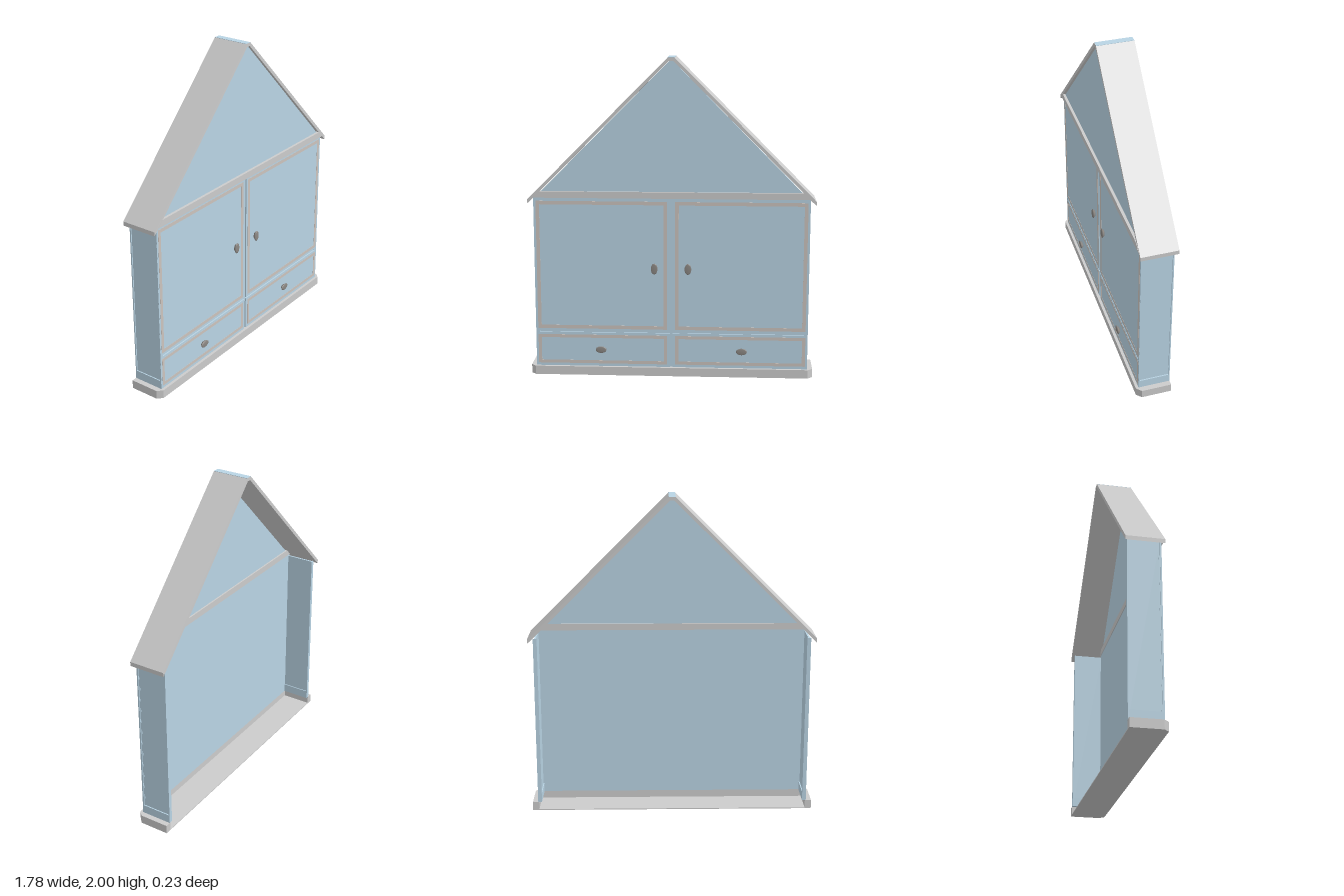
import * as THREE from 'three';

const blue = new THREE.MeshStandardMaterial({ color: 0xb9d4e4, flatShading: true, side: THREE.DoubleSide });
const grey = new THREE.MeshStandardMaterial({ color: 0xcccccc, flatShading: true, side: THREE.DoubleSide });
const trim = new THREE.MeshStandardMaterial({ color: 0xccc4be });
const dark = new THREE.MeshStandardMaterial({ color: 0x8c8884 });

function add(parent, name, geometry, material) {
  const mesh = new THREE.Mesh(geometry, material);
  mesh.name = name;
  parent.add(mesh);
  return mesh;
}

// Box given by its lowest and highest corners
function box(parent, name, a, b, material) {
  const mesh = add(parent, name, new THREE.BoxGeometry(b[0] - a[0], b[1] - a[1], b[2] - a[2]), material);
  mesh.position.set((a[0] + b[0]) / 2, (a[1] + b[1]) / 2, (a[2] + b[2]) / 2);
  return mesh;
}

// Outline in the xy plane, extruded from z0 to z1
function slab(points, z0, z1) {
  const shape = new THREE.Shape(points.map(([x, y]) => new THREE.Vector2(x, y)));
  return new THREE.ExtrudeGeometry(shape, { depth: z1 - z0, bevelEnabled: false }).translate(0, 0, z0);
}

// Flat plan outline in (x, z), extruded upwards
function plan(points, y0, y1) {
  return slab(points.map(([x, z]) => [x, -z]), y0, y1).rotateX(-Math.PI / 2);
}

// Flat rectangular frame with an open middle
function frame(x0, y0, x1, y1, width, z) {
  const shape = new THREE.Shape([[x0, y0], [x1, y0], [x1, y1], [x0, y1]].map(p => new THREE.Vector2(...p)));
  const w = width;
  shape.holes.push(new THREE.Path(
    [[x0 + w, y0 + w], [x0 + w, y1 - w], [x1 - w, y1 - w], [x1 - w, y0 + w]].map(p => new THREE.Vector2(...p))));
  return new THREE.ExtrudeGeometry(shape, { depth: 0.002, bevelEnabled: false }).translate(0, 0, z);
}

// Oval knob, flared towards the front
function knob(parent, x, y, rx, ry) {
  const profile = [[0, 0], [0.7, 0], [0.75, 0.006], [1, 0.01], [1, 0.014], [0.8, 0.017], [0, 0.017]];
  const g = new THREE.LatheGeometry(profile.map(p => new THREE.Vector2(...p)), 24);
  g.rotateX(Math.PI / 2).scale(rx, ry, 1);
  add(parent, 'knob', g, dark).position.set(x, y, 0.1);
}

export function createModel() {
  const model = new THREE.Group();

  // Plinth: thin floor with a raised rim, open at the back
  const base = new THREE.Group();
  base.name = 'base';
  model.add(base);
  const outer = [[-0.89, -0.1], [-0.89, 0.088], [-0.86, 0.118], [0.86, 0.118], [0.89, 0.088], [0.89, -0.1]];
  add(base, 'floor', plan(outer, 0, 0.006), grey);
  add(base, 'rim', plan([...outer, [0.85, -0.1], [0.85, 0.09], [-0.85, 0.09], [-0.85, -0.1]], 0.006, 0.055), grey);

  // Front wall
  box(model, 'frontBoard', [-0.85, 0.055, 0.084], [0.85, 1.15, 0.092], blue);

  for (const s of [-1, 1]) {
    // Mirrored x range for one half
    const span = (a, b) => s > 0 ? [a, b] : [-b, -a];

    // Doors above, drawers below, each with an inlaid border
    const [x0, x1] = span(0.008, 0.855);
    const [f0, f1] = span(0.025, 0.842);
    box(model, 'door', [x0, 0.284, 0.09], [x1, 1.145, 0.1], blue);
    add(model, 'doorBorder', frame(f0, 0.3, f1, 1.118, 0.022, 0.099), trim);
    box(model, 'drawerFront', [x0, 0.055, 0.09], [x1, 0.276, 0.1], blue);
    add(model, 'drawerBorder', frame(f0, 0.072, f1, 0.26, 0.02, 0.099), trim);
    knob(model, s * 0.105, 0.695, 0.021, 0.034);
    knob(model, s * 0.443, 0.166, 0.034, 0.021);

    // Side wall: panel held by narrow posts and a bottom rail
    const side = new THREE.Group();
    side.name = 'side';
    model.add(side);
    const [p0, p1] = span(0.838, 0.849);
    const [q0, q1] = span(0.832, 0.856);
    box(side, 'sidePanel', [p0, 0.055, -0.095], [p1, 1.13, 0.09], blue);
    box(side, 'backPost', [q0, 0.055, -0.1], [q1, 1.13, -0.092], blue);
    box(side, 'frontPost', [q0, 0.055, 0.09], [q1, 1.13, 0.0995], blue);
    box(side, 'bottomRail', [q0, 0.055, -0.095], [q1, 0.11, 0.095], blue);

    // Roof slope with an upright eave edge
    const slope = [[0.02, 2], [0.89, 1.13], [0.89, 1.104], [0.86, 1.132], [0.012, 1.98], [0, 1.98], [0, 2]];
    add(model, 'roofSlope', slab(slope.map(([x, y]) => [s * x, y]), -0.115, 0.115), grey);
  }

  // Coloured cap on the flat of the ridge
  box(model, 'ridgeCap', [-0.021, 1.997, -0.114], [0.021, 2.001, 0.114], blue);

  // Gable and the beam under it
  add(model, 'gable', slab([[-0.835, 1.15], [0.835, 1.15], [0.008, 1.982], [-0.008, 1.982]], 0.09, 0.1), blue);
  add(model, 'beam', slab([[-0.86, 1.14], [0.86, 1.14], [0.82, 1.18], [-0.82, 1.18]], 0.08, 0.117), grey);

  return model;
}
